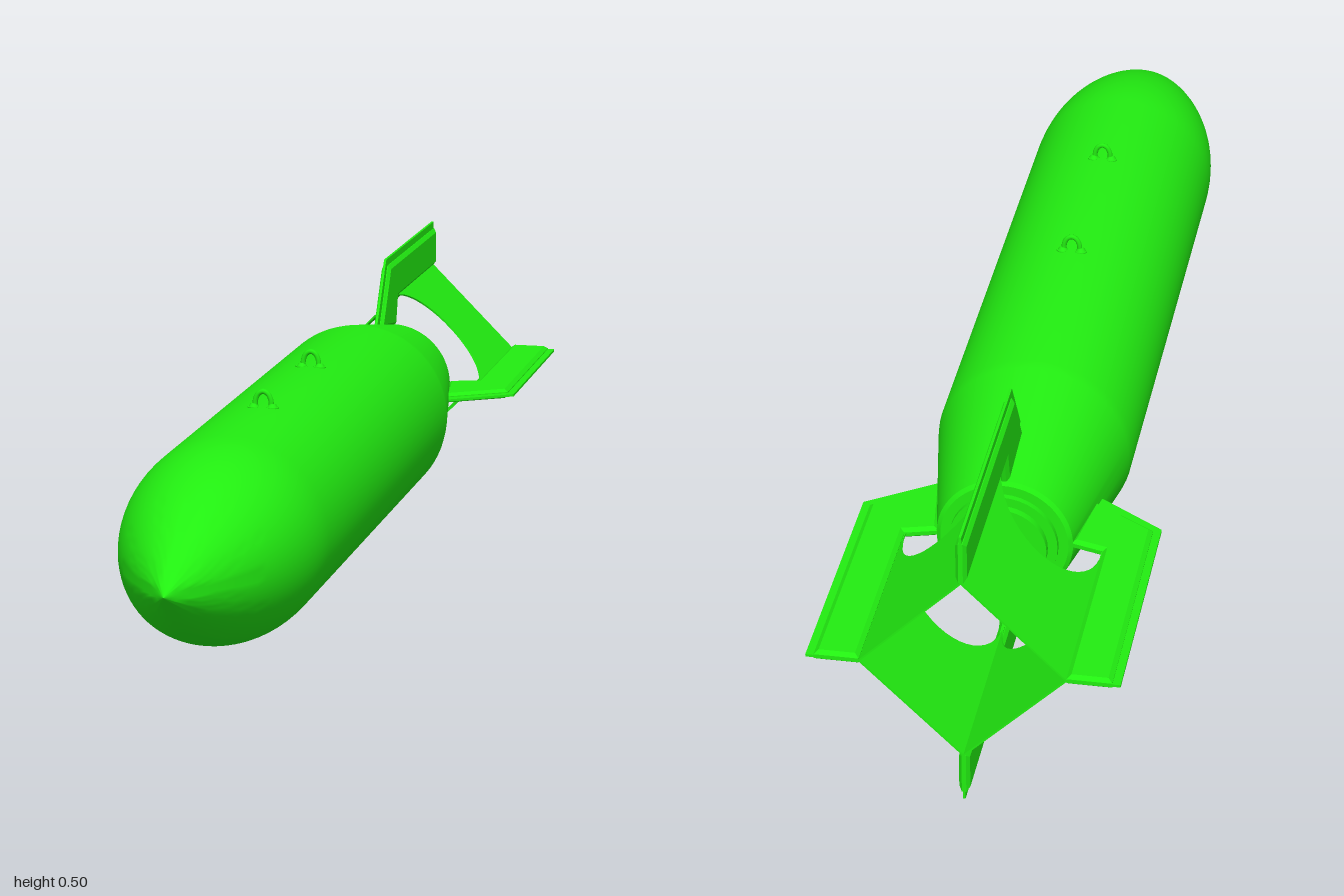
import * as THREE from 'three';
import { toCreasedNormals } from 'three/addons/utils/BufferGeometryUtils.js';

const material = new THREE.MeshStandardMaterial({ color: 0x22ee11, side: THREE.DoubleSide });
const R = 0.166; // body radius
const AXIS_Y = 0.249;

function part(name, geometry, parent) {
  const mesh = new THREE.Mesh(geometry, material);
  mesh.name = name;
  parent.add(mesh);
  return mesh;
}

// Solid of revolution about z from [z, radius] pairs, listed tail to nose
function turned(profile, segments = 64) {
  const points = profile.map(([z, r]) => new THREE.Vector2(r, z));
  const geometry = new THREE.LatheGeometry(points, segments).rotateX(Math.PI / 2);
  return toCreasedNormals(geometry, 0.5);
}

// Plate lying in the z-radius plane, centred on x = 0
function plate(outline, half, bevel) {
  const shape = new THREE.Shape(outline.map(([z, r]) => new THREE.Vector2(z, r)));
  const b = bevel ? half * 0.6 : 0;
  const geometry = new THREE.ExtrudeGeometry(shape, {
    depth: 2 * (half - b), bevelEnabled: !!bevel, bevelSegments: 1,
    bevelThickness: b, bevelSize: bevel, bevelOffset: -bevel,
  });
  return geometry.translate(0, 0, -(half - b)).rotateY(-Math.PI / 2);
}

function makeFin() {
  const fin = new THREE.Group();
  fin.name = 'tailFin';
  part('finEdge', plate([
    [-0.49, 0.139], [-0.63, 0.112], [-0.645, 0.162], [-1, 0.162], [-1, 0.249], [-0.565, 0.249],
  ], 0.0022, 0), fin);
  part('finCore', plate([
    [-0.507, 0.13], [-0.63, 0.11], [-0.645, 0.164], [-1, 0.164], [-1, 0.236], [-0.574, 0.236],
  ], 0.009, 0.007), fin);
  return fin;
}

// Flat panel joining two neighbouring fins, with an arched cutout in its front edge
function makePanelGeometry() {
  const w = R / Math.SQRT2;
  const shape = new THREE.Shape();
  shape.moveTo(-w, -1);
  shape.lineTo(w, -1);
  shape.lineTo(w, -0.645);
  for (let i = 0; i <= 24; i++) {
    const a = (i / 24) * Math.PI;
    shape.lineTo(0.98 * w * Math.cos(a), -0.645 - 0.135 * Math.sin(a));
  }
  shape.lineTo(-w, -0.645);
  return new THREE.ExtrudeGeometry(shape, { depth: 0.003, bevelEnabled: false })
    .rotateX(Math.PI / 2).translate(0, w, 0);
}

function makeLug() {
  const lug = new THREE.Group();
  lug.name = 'suspensionLug';
  const arch = new THREE.CatmullRomCurve3([
    [-0.014, 0, 0], [-0.013, 0.012, 0], [-0.008, 0.022, 0], [0, 0.026, 0],
    [0.008, 0.022, 0], [0.013, 0.012, 0], [0.014, 0, 0],
  ].map((p) => new THREE.Vector3(...p)));
  part('lugLoop', new THREE.TubeGeometry(arch, 24, 0.0045, 8), lug);
  for (const side of [-1, 1]) {
    const foot = part('lugFoot', new THREE.CylinderGeometry(0.005, 0.011, 0.009, 16), lug);
    foot.position.set(side * 0.016, 0.001, 0);
    const base = part('lugBase', new THREE.CylinderGeometry(0.011, 0.011, 0.006, 16), lug);
    base.position.set(side * 0.016, -0.003, 0);
  }
  return lug;
}

export function createModel() {
  const root = new THREE.Group();
  root.name = 'finnedBomb';
  const model = new THREE.Group();
  model.name = 'assembly';
  model.position.y = AXIS_Y;
  root.add(model);

  // Casing: flat tail, tapered rear, straight middle and curved nose
  const casing = [[-0.635, 0], [-0.635, 0.106], [-0.63, 0.113], [-0.36, 0.163], [-0.34, R], [0.6, R]];
  for (let i = 1; i <= 20; i++) {
    const t = i / 20;
    casing.push([0.6 + 0.4 * t, R * (1 - t ** 2.1)]);
  }
  part('casing', turned(casing, 72), model);

  // Stepped tail plug and spindle
  part('tailPlug', turned([
    [-0.735, 0], [-0.735, 0.008], [-0.725, 0.014], [-0.675, 0.014], [-0.675, 0.036],
    [-0.658, 0.036], [-0.658, 0.074], [-0.645, 0.074], [-0.645, 0.09], [-0.63, 0.09],
  ], 40), model);

  // Small arming propeller
  const propeller = new THREE.Group();
  propeller.name = 'armingPropeller';
  propeller.position.z = -0.712;
  for (let i = 0; i < 8; i++) {
    const arm = new THREE.Group();
    arm.name = 'propellerArm';
    arm.rotation.z = (i * Math.PI) / 4;
    const blade = part('propellerBlade', new THREE.BoxGeometry(0.012, 0.03, 0.002), arm);
    blade.position.y = 0.024;
    blade.rotation.y = 0.7;
    propeller.add(arm);
  }
  model.add(propeller);

  // Four fins with four panels between them
  const panelGeometry = makePanelGeometry();
  for (let i = 0; i < 4; i++) {
    const fin = makeFin();
    fin.rotation.z = (i * Math.PI) / 2;
    model.add(fin);
    const panel = part('tailPanel', panelGeometry, model);
    panel.rotation.z = ((i + 0.5) * Math.PI) / 2;
  }

  // Two lugs along the top
  for (const z of [0.375, 0.035]) {
    const lug = makeLug();
    lug.position.set(0, R, z);
    model.add(lug);
  }
  return root;
}
